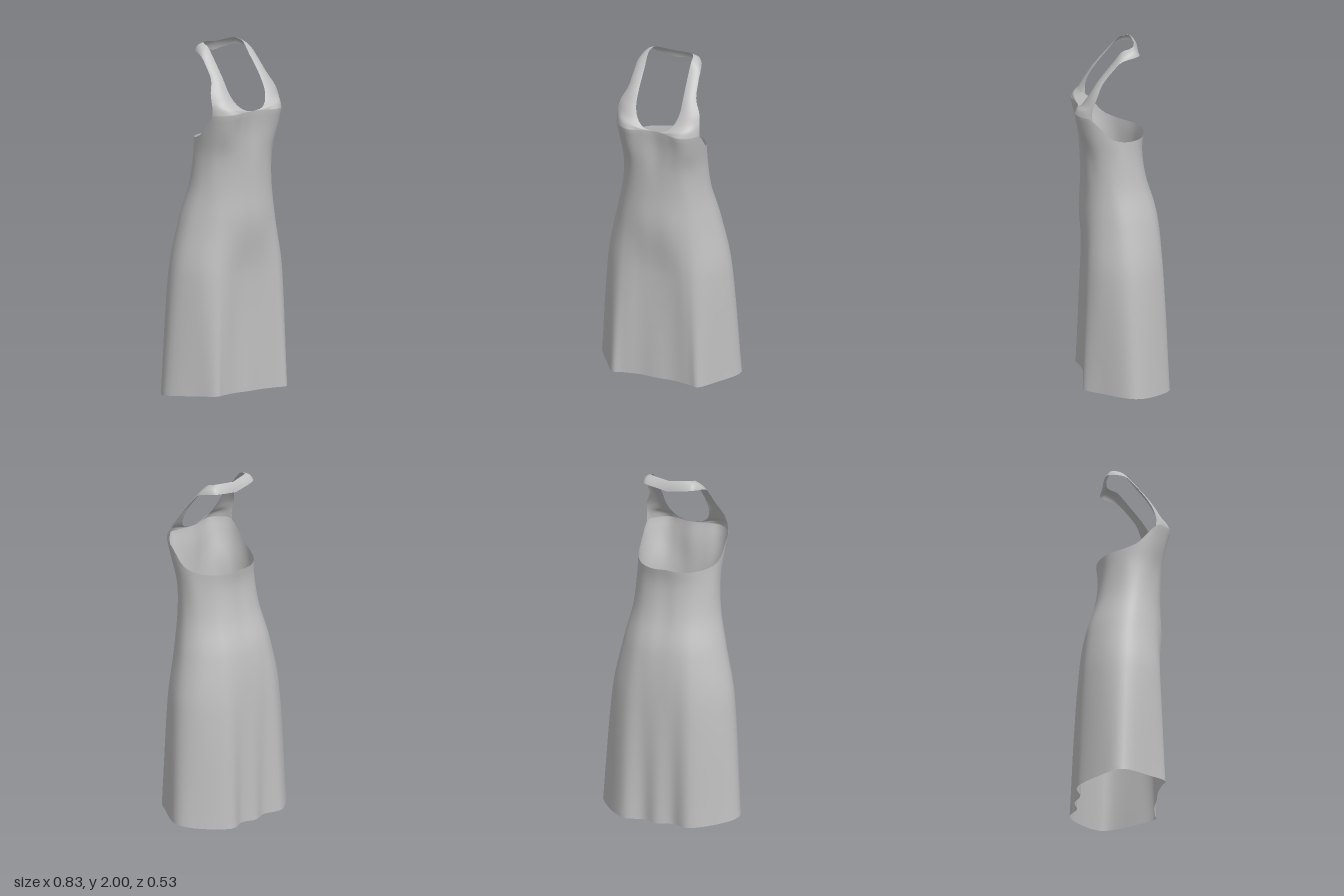
import * as THREE from 'three';
import { mergeGeometries, mergeVertices } from 'three/addons/utils/BufferGeometryUtils.js';

// Half outlines [x, z] from centre front round the left side to centre back, one per height
const HEIGHTS = [0, 0.7, 1.0, 1.2, 1.38, 1.53, 1.63];
const OUTLINES = [
  [[0, .205], [.1, .2], [.2, .215], [.26, .225], [.32, .14], [.415, -.03], [.35, -.15], [.205, -.264], [.09, -.235], [0, -.258]],
  [[0, .196], [.09, .2], [.17, .206], [.24, .19], [.31, .12], [.36, -.005], [.32, -.12], [.2, -.22], [.09, -.232], [0, -.236]],
  [[0, .225], [.08, .222], [.16, .2], [.22, .165], [.27, .1], [.3, .01], [.27, -.09], [.18, -.175], [.09, -.202], [0, -.205]],
  [[0, .22], [.08, .215], [.15, .195], [.2, .16], [.235, .11], [.255, .04], [.235, -.04], [.165, -.115], [.08, -.145], [0, -.145]],
  [[0, .22], [.07, .222], [.14, .21], [.19, .175], [.225, .13], [.24, .06], [.225, -.01], [.16, -.085], [.08, -.118], [0, -.122]],
  [[0, .222], [.08, .235], [.15, .24], [.2, .215], [.238, .16], [.246, .08], [.22, 0], [.16, -.085], [.08, -.13], [0, -.14]],
  [[0, .235], [.08, .25], [.15, .265], [.21, .235], [.25, .175], [.245, .08], [.22, 0], [.16, -.08], [.08, -.125], [0, -.135]],
];
// Top and bottom edge heights at the same ten stations
const TOP = [1.634, 1.632, 1.63, 1.625, 1.615, 1.515, 1.48, 1.47, 1.468, 1.475];
const HEM = [.04, .04, .04, .04, .037, .03, .015, .005, .002, 0];

// Strap cross-sections: inner edge, middle, outer edge
const STRAP = [
  [[.06, 1.645, .235], [.17, 1.66, .246], [.247, 1.66, .175]],
  [[.105, 1.68, .215], [.18, 1.69, .215], [.245, 1.7, .165]],
  [[.13, 1.74, .18], [.185, 1.745, .18], [.235, 1.75, .145]],
  [[.133, 1.82, .13], [.17, 1.82, .132], [.203, 1.82, .11]],
  [[.13, 1.92, .05], [.165, 1.91, .055], [.192, 1.9, .045]],
  [[.13, 1.98, 0], [.165, 1.965, 0], [.187, 1.94, 0]],
  [[.125, 1.995, -.04], [.15, 1.985, -.06], [.165, 1.955, -.07]],
  [[.1, 2, -.065], [.115, 1.98, -.085], [.125, 1.955, -.1]],
  [[0, 1.99, -.08], [0, 1.965, -.095], [0, 1.935, -.105]],
];

const STEPS = 5; // columns between stations

// Smooth interpolation through unevenly spaced keys
function interpolate(keys, values, t) {
  const n = keys.length;
  let i = 0;
  while (i < n - 2 && t > keys[i + 1]) i++;
  const slope = k => {
    const a = Math.max(k - 1, 0), b = Math.min(k + 1, n - 1);
    return (values[b] - values[a]) / (keys[b] - keys[a]);
  };
  const h = keys[i + 1] - keys[i];
  const s = THREE.MathUtils.clamp((t - keys[i]) / h, 0, 1);
  const s2 = s * s, s3 = s2 * s;
  return (2 * s3 - 3 * s2 + 1) * values[i] + (s3 - 2 * s2 + s) * h * slope(i)
    + (3 * s2 - 2 * s3) * values[i + 1] + (s3 - s2) * h * slope(i + 1);
}

// Closed outline mirrored to the right side
const rings = OUTLINES.map(half => {
  const left = half.map(([x, z]) => new THREE.Vector3(x, 0, z));
  const right = left.slice(1, -1).reverse().map(p => new THREE.Vector3(-p.x, 0, p.z));
  return new THREE.CatmullRomCurve3([...left, ...right], true, 'catmullrom', 0.5);
});
const stations = TOP.map((_, i) => i);

// Point on the dress: u = station 0..18 round the body, v = 0 at hem, 1 at top edge
function bodyPoint(u, v) {
  const side = u <= 9 ? u : 18 - u;
  const y = THREE.MathUtils.lerp(interpolate(stations, HEM, side), interpolate(stations, TOP, side), v);
  const points = rings.map(r => r.getPoint((u % 18) / 18));
  return new THREE.Vector3(
    interpolate(HEIGHTS, points.map(p => p.x), y), y,
    interpolate(HEIGHTS, points.map(p => p.z), y));
}

// Sheet of quads from rows of points
function sheet(rows, flip = false) {
  const width = rows[0].length, index = [];
  for (let j = 0; j < rows.length - 1; j++) {
    for (let i = 0; i < width - 1; i++) {
      const a = j * width + i, b = a + 1, c = a + width, d = c + 1;
      index.push(...(flip ? [a, c, b, b, c, d] : [a, b, c, b, d, c]));
    }
  }
  const geometry = new THREE.BufferGeometry().setFromPoints(rows.flat());
  geometry.setIndex(index);
  return geometry;
}

function bodySheet() {
  const rows = [];
  for (let j = 0; j <= 48; j++) {
    const row = [];
    for (let i = 0; i <= 18 * STEPS; i++) row.push(bodyPoint(i / STEPS, j / 48));
    rows.push(row);
  }
  return sheet(rows);
}

// Half of the halter, growing from the front top edge to the nape
function halterSheet(side) {
  const columns = 4 * STEPS, count = 45;
  const rows = Array.from({ length: count + 1 }, () => []);
  for (let i = 0; i <= columns; i++) {
    const t = i / columns;
    const weights = [(1 - t) * (1 - 2 * t), 4 * t * (1 - t), t * (2 * t - 1)];
    const path = [bodyPoint(i / STEPS, 1)];
    for (const section of STRAP) {
      const p = new THREE.Vector3();
      section.forEach((q, k) => p.addScaledVector(new THREE.Vector3(...q), weights[k]));
      path.push(p);
    }
    const curve = new THREE.CatmullRomCurve3(path, false, 'catmullrom', 0.5);
    rows.forEach((row, j) => {
      const p = curve.getPoint(j / count);
      p.x *= side;
      row.push(p);
    });
  }
  return sheet(rows, side < 0);
}

export function createModel() {
  const group = new THREE.Group();
  group.name = 'halterDress';
  const fabric = new THREE.MeshStandardMaterial({ color: 0xc0c0c0, side: THREE.DoubleSide });
  fabric.name = 'greyFabric';

  // Skirt, bodice and halter are welded into one smooth cloth
  const cloth = mergeVertices(mergeGeometries([bodySheet(), halterSheet(1), halterSheet(-1)]), 1e-4);
  cloth.computeVertexNormals();
  const dress = new THREE.Mesh(cloth, fabric);
  dress.name = 'dressCloth';
  group.add(dress);
  return group;
}
